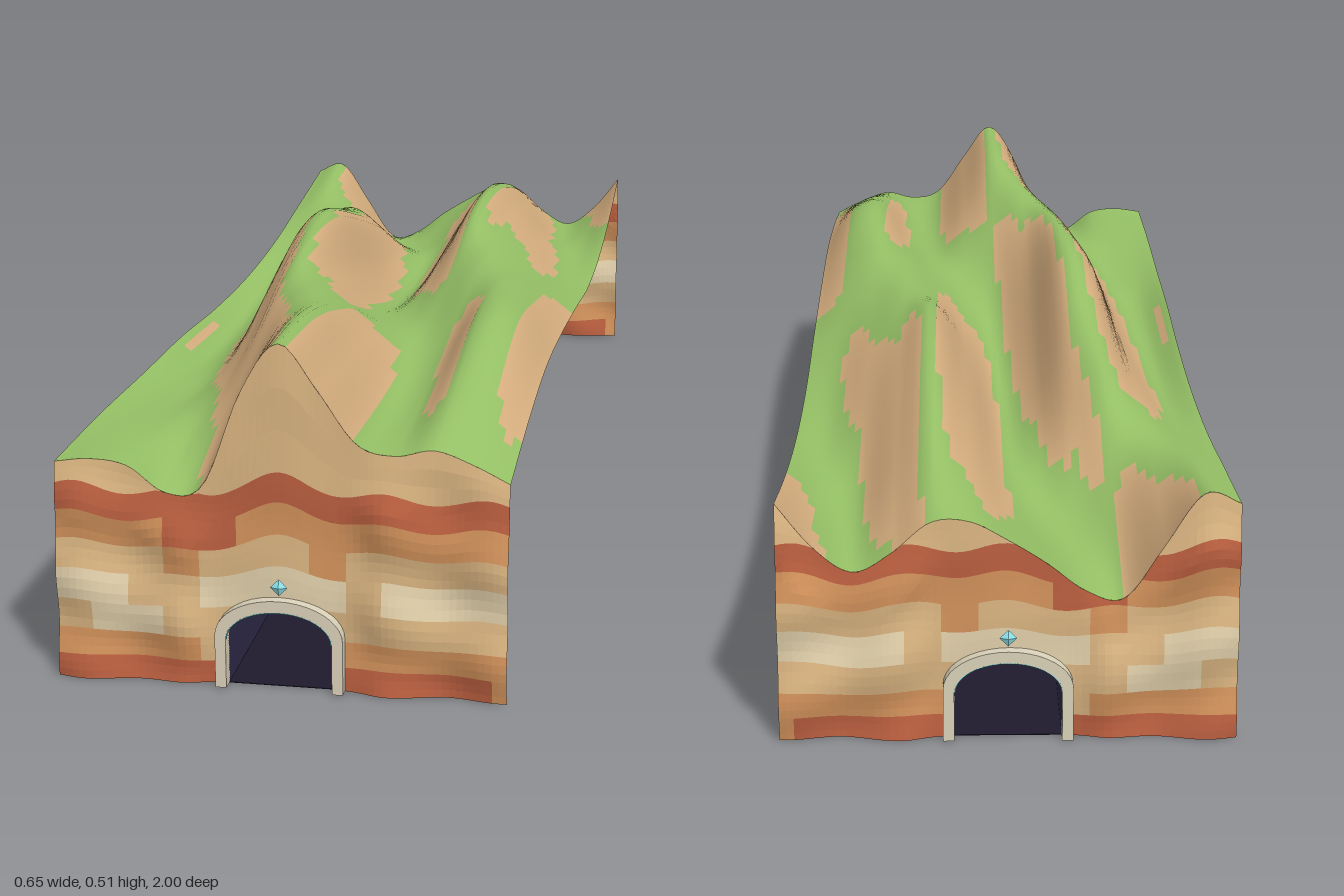
import * as THREE from 'three';

const HALF_W = 0.327, END = 0.98;

// Height samples across x (-0.33 to 0.33), one row every 0.25 from z = -1 to z = 1
const HEIGHTS = [
  [.352, .368, .285, .205, .22, .265, .30, .325, .32, .275, .25, .29, .362],
  [.325, .343, .323, .276, .246, .246, .28, .345, .385, .335, .275, .28, .32],
  [.30, .305, .345, .377, .34, .283, .275, .36, .43, .385, .325, .29, .295],
  [.29, .277, .335, .42, .415, .315, .28, .355, .437, .405, .362, .315, .295],
  [.295, .267, .32, .452, .474, .37, .313, .343, .394, .412, .39, .356, .32],
  [.31, .275, .308, .415, .478, .425, .37, .355, .37, .403, .425, .40, .342],
  [.315, .296, .30, .355, .44, .468, .445, .40, .36, .375, .438, .43, .355],
  [.322, .318, .315, .32, .37, .46, .497, .43, .36, .358, .405, .395, .345],
  [.322, .33, .322, .281, .293, .435, .512, .448, .372, .356, .364, .345, .32],
];

// Smooth curve through evenly spaced values, t from 0 to 1
function spline(values, t) {
  const n = values.length - 1, s = THREE.MathUtils.clamp(t, 0, 1) * n;
  const i = Math.min(Math.floor(s), n - 1), f = s - i;
  const b = values[i], c = values[i + 1];
  const a = i > 0 ? values[i - 1] : 2 * b - c;
  const d = i + 2 <= n ? values[i + 2] : 2 * c - b;
  return b + 0.5 * f * (c - a + f * (2 * a - 5 * b + 4 * c - d + f * (3 * (b - c) + d - a)));
}

const height = (x, z) => spline(HEIGHTS.map(row => spline(row, (x + 0.33) / 0.66)), (z + 1) / 2);

function terrainNormal(x, z) {
  const e = 0.004;
  return new THREE.Vector3(
    (height(x - e, z) - height(x + e, z)) / (2 * e), 1,
    (height(x, z - e) - height(x, z + e)) / (2 * e)).normalize();
}

function paint(color, side = THREE.FrontSide) {
  return new THREE.MeshStandardMaterial({ color, side });
}

function part(name, geometry, material) {
  const mesh = new THREE.Mesh(geometry, material);
  mesh.name = name;
  return mesh;
}

// Geometry from a list of quads (four corners each, counter-clockwise)
function quadGeometry(quads, normalAt) {
  const pos = [], nor = [];
  for (const q of quads) {
    for (const i of [0, 1, 2, 0, 2, 3]) {
      pos.push(...q[i]);
      if (normalAt) nor.push(...normalAt(q[i][0], q[i][2]).toArray());
    }
  }
  const g = new THREE.BufferGeometry();
  g.setAttribute('position', new THREE.Float32BufferAttribute(pos, 3));
  if (normalAt) g.setAttribute('normal', new THREE.Float32BufferAttribute(nor, 3));
  else g.computeVertexNormals();
  return g;
}

// Rolling ground: grass on gentle cells, bare earth on steep ones
function terrain() {
  const group = new THREE.Group();
  group.name = 'terrain';
  const grass = [], earth = [], nx = 56, nz = 56;
  const X = i => -HALF_W + 2 * HALF_W * i / nx, Z = j => -END + 2 * END * j / nz;
  const point = (x, z) => [x, height(x, z), z];
  for (let i = 0; i < nx; i++) {
    for (let j = 0; j < nz; j++) {
      const x0 = X(i), x1 = X(i + 1), z0 = Z(j), z1 = Z(j + 1);
      const steep = terrainNormal((x0 + x1) / 2, (z0 + z1) / 2).y < 0.78;
      (steep ? earth : grass).push([point(x0, z0), point(x0, z1), point(x1, z1), point(x1, z0)]);
    }
  }
  group.add(part('grass', quadGeometry(grass, terrainNormal), paint(0x96c166, THREE.DoubleSide)));
  group.add(part('bareEarth', quadGeometry(earth, terrainNormal), paint(0xd8b080, THREE.DoubleSide)));
  return group;
}

// Rock layers from the ground up: [top, color]
const RED = 0xbc6040, ORANGE = 0xd4935c, TAN = 0xdcb682, PALE = 0xe6d4ae;
const LAYERS = [[.035, RED], [.073, ORANGE], [.118, TAN], [.165, PALE],
  [.207, TAN], [.25, ORANGE], [.29, RED], [1, TAN]];

// Repeatable scatter value from 0 to 1
const scatter = (a, b) => {
  const s = Math.sin(a * 12.99 + b * 78.23 + 3) * 43758.55;
  return s - Math.floor(s);
};

// Rippled, striped cliff with a hole for the portal; dir is +1 front, -1 back
function cliff(dir) {
  const group = new THREE.Group();
  group.name = 'cliff';
  const columns = 62, rows = 3, mix = THREE.MathUtils.lerp;
  const X = i => -HALF_W + 2 * HALF_W * i / columns;
  const top = x => height(x, dir * END);
  const hole = x => 0.075 + 0.052 * Math.sqrt(Math.max(0, 1 - (x / 0.085) ** 2));
  const point = (x, y) => {
    const h = top(x);
    const ripple = 0.5 + 0.27 * Math.sin(x * 42 + 1) + 0.23 * Math.sin(y * 45 + x * 17);
    const calm = THREE.MathUtils.smoothstep(Math.abs(x), 0.08, 0.15) * 0.8 + 0.2;
    return [x, y, dir * (END + 0.02 * ripple * calm * Math.min(1, Math.max(0, h - y) / 0.08))];
  };
  // Layers rise and sink with the ground above them
  const level = (x, y) => Math.min(top(x), y * (1 + 0.5 * (top(x) - 0.33) + 0.03 * Math.cos(x * 42)));
  const quads = new Map([RED, ORANGE, TAN, PALE].map(color => [color, []]));
  let base = 0;
  LAYERS.forEach(([limit, color], k) => {
    for (let i = 0; i < columns; i++) {
      const x0 = X(i), x1 = X(i + 1), open = Math.abs((x0 + x1) / 2) < 0.085;
      const span = x => {
        const lo = open ? Math.max(level(x, base), hole(x)) : level(x, base);
        const hi = limit === 1 ? top(x) : level(x, limit);
        return [lo, Math.max(lo, hi)];
      };
      const [a0, a1] = span(x0), [b0, b1] = span(x1);
      if (a1 - a0 + b1 - b0 < 1e-5) continue;
      // Here and there a block takes the color of the layer above
      const slipped = k < 6 && scatter(k, Math.floor(i / 5)) > 0.85;
      const list = quads.get(slipped ? LAYERS[k + 1][1] : color);
      for (let r = 0; r < rows; r++) {
        const s = r / rows, t = (r + 1) / rows;
        const q = [point(x0, mix(a0, a1, s)), point(x1, mix(b0, b1, s)),
          point(x1, mix(b0, b1, t)), point(x0, mix(a0, a1, t))];
        list.push(dir > 0 ? q : q.reverse());
      }
    }
    base = limit;
  });
  for (const [color, list] of quads) {
    group.add(part('rockLayers', quadGeometry(list), paint(color, THREE.DoubleSide)));
  }
  return group;
}

// Outline of an arch: straight jambs under a flat elliptical crown
function archPoints(halfWidth, spring, crown, steps = 20) {
  const pts = [new THREE.Vector2(halfWidth, 0)];
  for (let i = 0; i <= steps; i++) {
    const a = Math.PI * i / steps;
    pts.push(new THREE.Vector2(halfWidth * Math.cos(a), spring + (crown - spring) * Math.sin(a)));
  }
  pts.push(new THREE.Vector2(-halfWidth, 0));
  return pts;
}

function archExtrusion(outer, inner, depth) {
  const shape = new THREE.Shape([...outer, ...inner.slice().reverse()]);
  return new THREE.ExtrudeGeometry(shape, { depth, bevelEnabled: false }).translate(0, 0, -depth / 2);
}

// Stone arch, glowing inner trim and a gem above it
function portal(dir) {
  const group = new THREE.Group();
  group.name = 'portal';
  const frame = archExtrusion(archPoints(0.093, 0.08, 0.137), archPoints(0.077, 0.075, 0.12), 0.022);
  const surround = part('stoneArch', frame, paint(0xdcd3ba));
  surround.position.z = dir * 0.988;
  const crown = archPoints(0.0762, 0.075, 0.1192).slice(1, -1);
  const path = new THREE.CatmullRomCurve3(crown.map(p => new THREE.Vector3(p.x, p.y, dir * 0.998)));
  const trim = part('archTrim', new THREE.TubeGeometry(path, 48, 0.0012, 5), paint(0x6fd3d8));
  const gem = part('gem', new THREE.OctahedronGeometry(0.0125), paint(0x8fe6ee));
  gem.scale.z = 0.4;
  gem.position.set(0, 0.155, dir * 0.991);
  group.add(surround, trim, gem);
  return group;
}

// Hollow passage running the whole length
function tunnel() {
  const group = new THREE.Group();
  group.name = 'tunnel';
  const shell = archExtrusion(archPoints(0.079, 0.077, 0.122), archPoints(0.077, 0.075, 0.12), 1.96);
  const floor = part('tunnelFloor', new THREE.BoxGeometry(0.156, 0.001, 1.96), paint(0x1f1b2e));
  floor.position.y = 0.0005;
  group.add(part('tunnelShell', shell, paint(0x2f2a48)), floor);
  return group;
}

export function createModel() {
  const model = new THREE.Group();
  model.name = 'tunnelHill';
  model.add(terrain(), tunnel());
  for (const dir of [1, -1]) model.add(cliff(dir), portal(dir));
  return model;
}
